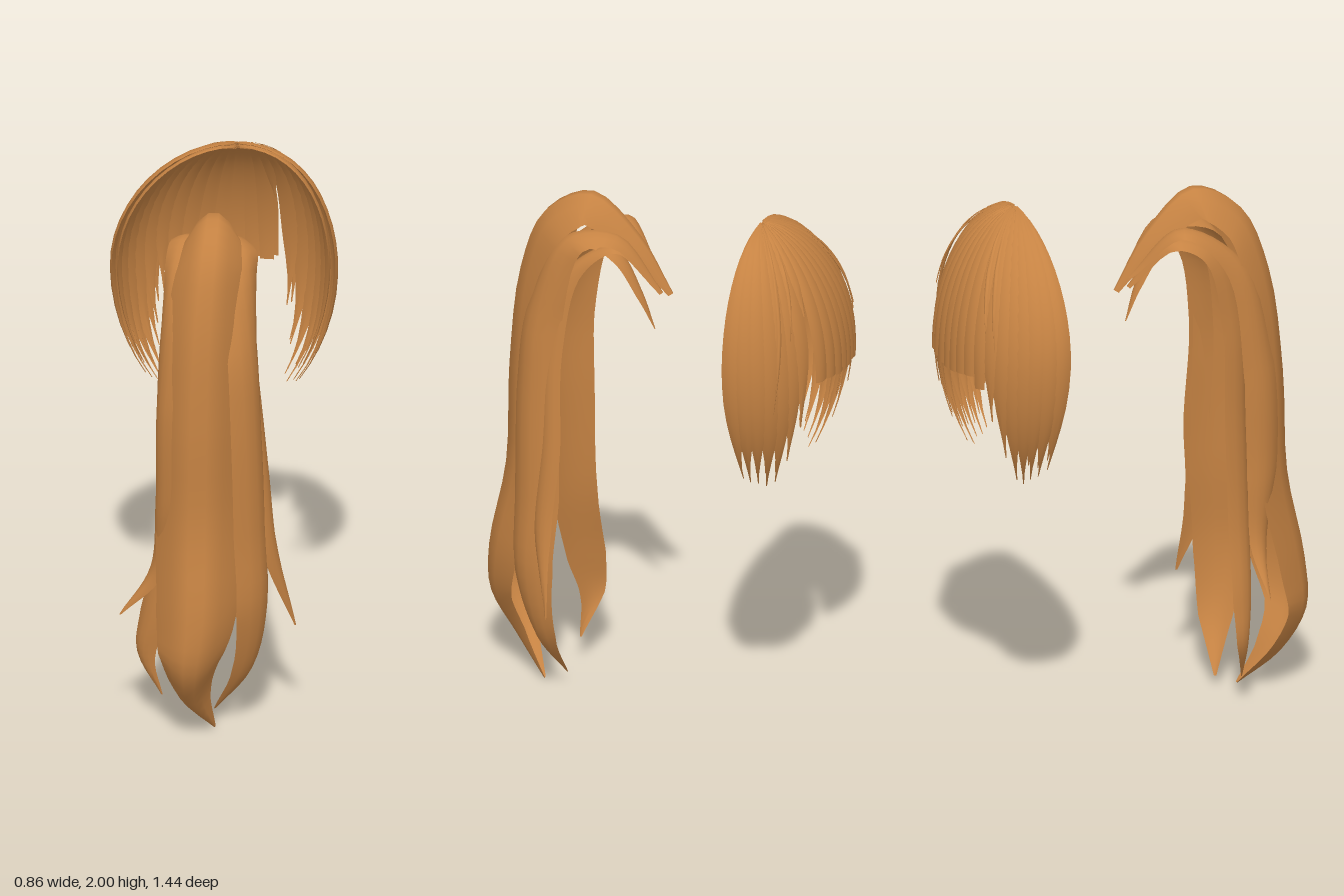
import * as THREE from 'three';
import { toCreasedNormals } from 'three/addons/utils/BufferGeometryUtils.js';

const { degToRad, lerp, smoothstep } = THREE.MathUtils;

// Lens-shaped cross-section: [position across the lock, outer 1 / inner 0]
const RING = [[-1, 1], [-0.6, 1], [-0.2, 1], [0.2, 1], [0.6, 1], [1, 1], [0.6, 0], [0.2, 0], [-0.2, 0], [-0.6, 0]];

// Skin a lock from rings; pointAt(s, u, outer) gives a Vector3
function loft(pointAt, rows) {
  const n = RING.length, pos = [], index = [];
  for (let i = 0; i <= rows; i++) {
    for (const [u, outer] of RING) pos.push(...pointAt(i / rows, u, outer).toArray());
  }
  for (let i = 0; i < rows; i++) {
    for (let j = 0; j < n; j++) {
      const a = i * n + j, b = i * n + (j + 1) % n;
      index.push(a, a + n, b, b, a + n, b + n);
    }
  }
  const geo = new THREE.BufferGeometry();
  geo.setAttribute('position', new THREE.Float32BufferAttribute(pos, 3));
  geo.setIndex(index);
  return toCreasedNormals(geo, 0.9);
}

// Ponytail lock from stations [x, y, z, half width, facing angle in degrees]
function tailLock(stations, arch, thick) {
  const path = new THREE.CatmullRomCurve3(stations.map(p => new THREE.Vector3(p[0], p[1], p[2])));
  const last = stations.length - 1;
  const value = (s, k) => {
    const f = s * last, i = Math.min(Math.floor(f), last - 1), t = f - i;
    return lerp(stations[i][k], stations[i + 1][k], t);
  };
  return loft((s, u, outer) => {
    const w = value(s, 3), a = degToRad(value(s, 4));
    const across = new THREE.Vector3(Math.cos(a), 0, Math.sin(a));
    const normal = path.getTangent(s).cross(across).normalize();
    const depth = -arch * w * u * u - (outer ? 0 : thick * w * (1 - u * u));
    return path.getPoint(s).addScaledVector(across, w * u).addScaledVector(normal, depth);
  }, 40);
}

// Point on the fringe dome: phi sweeps from +x over the brow to -x, theta runs down from the crown
function domePoint(phi, theta, r) {
  const c = Math.cos(theta), s = Math.sin(theta);
  const front = Math.sin(phi), yc = 1.5 - 0.06 * front;
  const crown = Math.max(0, c) ** 2;
  return new THREE.Vector3(
    0.05 * crown + 0.425 * r * s * Math.cos(phi),
    yc + (c > 0 ? (2 - yc) * (0.5 + 0.5 * Math.min(r, 1)) : 0.6) * c,
    -0.395 - 0.01 * crown - 0.328 * r * s ** 1.15 * front
  );
}

// Fringe strand: phi and half width in degrees, end angle, radius, tip width, sideways bend
function fringeStrand(phi, half, end, r, tip, bend) {
  return loft((s, u, outer) => {
    const taper = lerp(1, tip, smoothstep(s, 0.6, 1) ** 1.6);
    const p = degToRad(phi + half * taper * u + bend * s * s);
    const bulge = (outer ? 0.022 : -0.012) * (1 - u * u);
    return domePoint(p, lerp(0.03, degToRad(end), s), r + bulge * (0.3 + 0.7 * taper));
  }, 18);
}

export function createModel() {
  const model = new THREE.Group();
  const hair = new THREE.MeshStandardMaterial({ color: 0xc68343, side: THREE.DoubleSide });
  hair.name = 'chestnut hair';
  const add = (parent, name, geo) => {
    const mesh = new THREE.Mesh(geo, hair);
    mesh.name = name;
    parent.add(mesh);
  };

  // Ponytail
  const tail = new THREE.Group();
  tail.name = 'ponytail';
  model.add(tail);
  add(tail, 'mainLock', tailLock([
    [-0.01, 1.63, -0.03, 0.015, 0], [-0.01, 1.84, 0.1, 0.06, 0], [-0.01, 1.995, 0.29, 0.1, 0],
    [-0.02, 1.9, 0.48, 0.12, 0], [-0.04, 1.65, 0.585, 0.14, 0], [-0.055, 1.25, 0.635, 0.155, 0],
    [-0.06, 0.85, 0.65, 0.16, 0], [-0.065, 0.5, 0.72, 0.15, 0], [-0.085, 0.3, 0.72, 0.12, 0],
    [-0.08, 0.14, 0.62, 0.07, 0], [0, 0, 0.48, 0.005, 0]], 1.05, 0.12));
  add(tail, 'leftLock', tailLock([
    [0.02, 1.64, 0, 0.015, 0], [0.05, 1.86, 0.17, 0.06, -10], [0.1, 1.84, 0.36, 0.09, -35],
    [0.145, 1.52, 0.47, 0.1, -62], [0.165, 1.2, 0.49, 0.11, -66], [0.18, 0.8, 0.49, 0.115, -66],
    [0.185, 0.48, 0.5, 0.105, -62], [0.13, 0.22, 0.455, 0.065, -55], [0, 0.04, 0.39, 0.005, -50]], 0.55, 0.25));
  add(tail, 'leftWisp', tailLock([
    [0.02, 1.66, 0.02, 0.015, 0], [0.06, 1.82, 0.17, 0.04, -20], [0.11, 1.72, 0.33, 0.045, -60],
    [0.155, 1.4, 0.4, 0.045, -70], [0.195, 1, 0.4, 0.05, -70], [0.225, 0.68, 0.42, 0.05, -60],
    [0.3, 0.37, 0.365, 0.004, -50]], 0.4, 0.25));
  add(tail, 'rightLock', tailLock([
    [-0.02, 1.64, 0.02, 0.015, 0], [-0.08, 1.83, 0.17, 0.07, 10], [-0.12, 1.77, 0.34, 0.085, 30],
    [-0.14, 1.5, 0.43, 0.09, 45], [-0.15, 1.1, 0.44, 0.09, 45], [-0.18, 0.7, 0.44, 0.09, 45],
    [-0.25, 0.42, 0.42, 0.08, 45], [-0.275, 0.25, 0.4, 0.05, 45], [-0.2, 0.1, 0.41, 0.004, 45]], 0.45, 0.25));
  add(tail, 'rightWisp', tailLock([
    [-0.03, 1.68, 0.02, 0.015, 0], [-0.11, 1.87, 0.2, 0.06, 15], [-0.165, 1.72, 0.42, 0.075, 50],
    [-0.21, 1.3, 0.5, 0.08, 70], [-0.215, 0.9, 0.51, 0.08, 70], [-0.235, 0.62, 0.48, 0.05, 60],
    [-0.355, 0.44, 0.46, 0.004, 45]], 0.4, 0.25));
  // Short lock gathered at the root
  add(tail, 'rootLock', tailLock([
    [0.02, 1.49, 0.03, 0.004, 0], [0.03, 1.63, 0.08, 0.03, 0], [0.03, 1.78, 0.17, 0.05, 0],
    [0.03, 1.82, 0.28, 0.05, 0], [0.04, 1.7, 0.4, 0.004, 0]], 0.4, 0.3));

  // Fringe: two overlapping layers fanning out from the crown
  const fringe = new THREE.Group();
  fringe.name = 'fringe';
  model.add(fringe);
  const wobble = k => Math.sin(k * 12.9 + 1.3) * 0.6 + Math.sin(k * 5.3) * 0.4;
  for (let layer = 0; layer < 2; layer++) {
    const count = layer ? 20 : 23;
    for (let i = 0; i < count; i++) {
      const k = i + layer * 31;
      const phi = lerp(5 + layer * 3, 175 - layer * 3, i / (count - 1));
      const fold = Math.min(phi, 180 - phi);
      const side = 1 - smoothstep(fold, 28, 66);
      const parting = phi > 53 && phi < 61;
      let end = 92 + 45 * side + wobble(k) * (2 + 6 * side) - layer * 2;
      if (fold < 12) end -= 4;
      if (parting) end = 62;
      const tip = parting ? 0.1 : lerp(0.7, 0.06, smoothstep(side, 0, 0.3));
      const bend = wobble(k + 7) * 2 + (phi < 90 ? 1 : -1) * 3 * side;
      add(fringe, layer ? 'underStrand' : 'overStrand',
        fringeStrand(phi, 5.8 + 2 * side, end, 0.985 - layer * 0.05 + wobble(k + 3) * 0.018, tip, bend));
    }
  }
  // Loose hairs standing off the dome
  for (const [phi, end, bend] of [[118, 75, 8], [126, 80, 6], [52, 70, -8], [40, 100, -8]]) {
    add(fringe, 'looseStrand', fringeStrand(phi, 1.6, end, 1.04, 0.05, bend));
  }
  return model;
}
